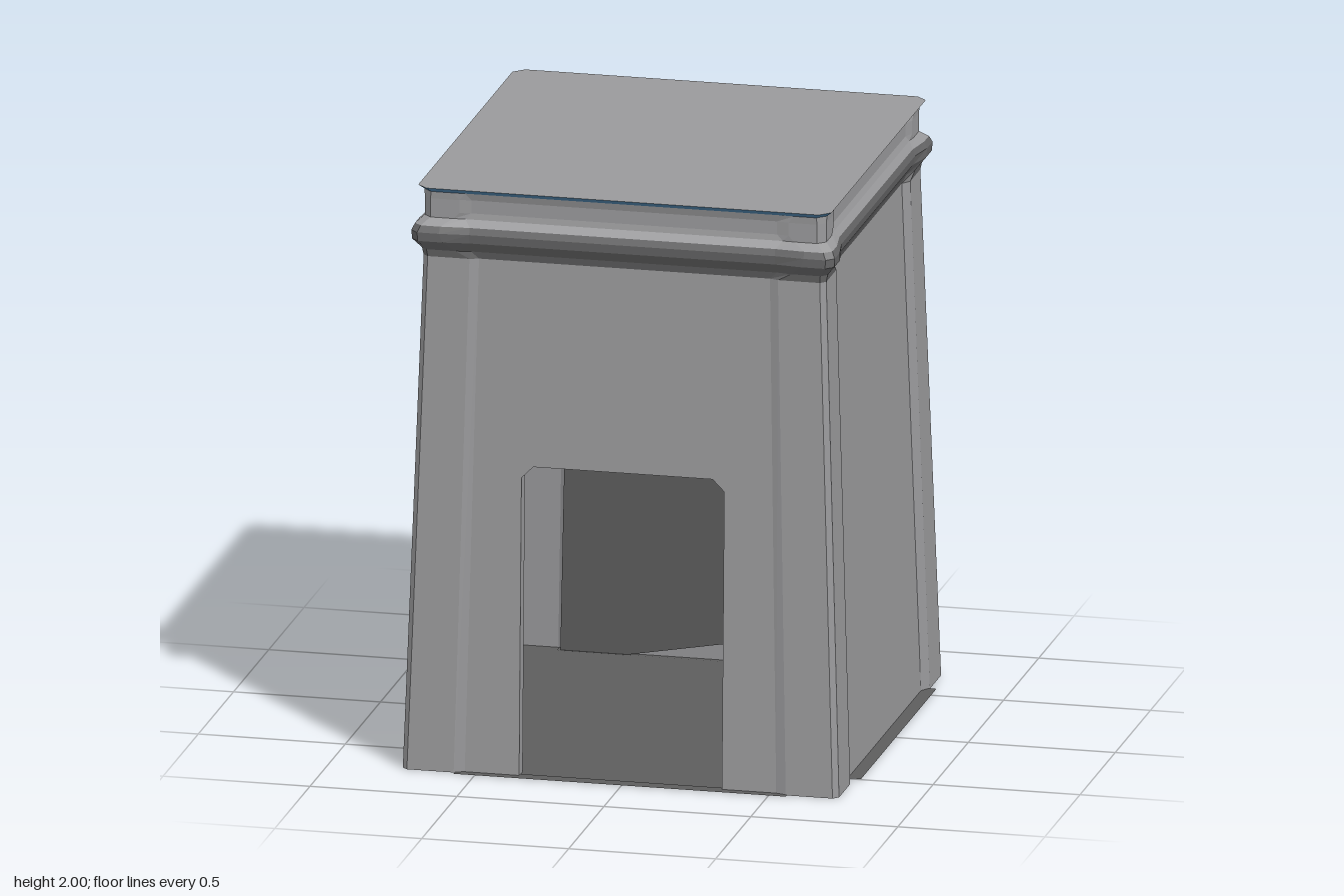
import * as THREE from 'three';

const makeMaterial = (color) => new THREE.MeshStandardMaterial({ color, flatShading: true, side: THREE.DoubleSide });
const stone = makeMaterial(0x99999b);
const darkStone = makeMaterial(0x5d5d5d);
const mouldingStone = makeMaterial(0x666667);
const rimBlue = makeMaterial(0x4d7fa6);

// Levels: y, half width, panel recess, panel half width, pilaster inner edge, corner chamfer
const levels = [
  [0, 0.742, 0.022, 0.53, 0.565, 0.018],
  [1.76, 0.685, 0.022, 0.495, 0.525, 0.018],
  [1.785, 0.69, 0.016, 0.52, 0.57, 0.02],
  [1.82, 0.718, 0.022, 0.52, 0.61, 0.025],
  [1.85, 0.72, 0.018, 0.52, 0.62, 0.025],
  [1.872, 0.71, 0.016, 0.52, 0.62, 0.025],
  [1.895, 0.683, 0.005, 0.54, 0.58, 0.025],
  [1.915, 0.683, 0.014, 0.52, 0.56, 0.025],
  [1.96, 0.683, 0.014, 0.52, 0.56, 0.025],
  [1.984, 0.685, 0.003, 0.54, 0.58, 0.03],
  [2, 0.703, 0, 0.54, 0.58, 0.035],
];
const FRONT_RECESS = 0.5; // the front panel is set back only half as far

// Turns a point of the front side to one of the four sides
function turn(side, u, y, out) {
  let x = u, z = out;
  for (let k = 0; k < side; k++) [x, z] = [z, -x];
  return [x, y, z];
}

// Square cross-section with chamfered corners and a recessed panel on each side
function ring([y, h, recess, w0, w1, c]) {
  const points = [];
  for (let side = 0; side < 4; side++) {
    const d = side === 0 ? recess * FRONT_RECESS : recess;
    const profile = [[-h + c, h], [-w1, h], [-w0, h - d], [w0, h - d], [w1, h], [h - c, h]];
    for (const [u, out] of profile) points.push(turn(side, u, y, out));
  }
  return points;
}

function meshFrom(name, triangles, material) {
  const geometry = new THREE.BufferGeometry();
  geometry.setAttribute('position', new THREE.Float32BufferAttribute(triangles.flat(2), 3));
  geometry.computeVertexNormals();
  const mesh = new THREE.Mesh(geometry, material);
  mesh.name = name;
  return mesh;
}

function loft(name, from, to, material, skip = () => false) {
  const triangles = [];
  for (let i = from; i < to; i++) {
    const a = ring(levels[i]), b = ring(levels[i + 1]);
    a.forEach((p, j) => {
      if (skip(j)) return;
      const n = (j + 1) % a.length;
      triangles.push([p, a[n], b[n]], [p, b[n], b[j]]);
    });
  }
  return meshFrom(name, triangles, material);
}

function cap(name, level, up, material) {
  const points = ring(level);
  return meshFrom(name, points.map((p, j) => {
    const n = points[(j + 1) % points.length], centre = [0, level[0], 0];
    return up ? [centre, p, n] : [centre, n, p];
  }), material);
}

// Depth of a recessed wall panel at height y
const [low, high] = levels;
const panelOut = (y, share) =>
  THREE.MathUtils.lerp(low[1] - low[2] * share, high[1] - high[2] * share, y / high[0]);

export function createModel() {
  const group = new THREE.Group();
  group.name = 'tower';
  const body = new THREE.Group();
  body.name = 'towerBody';
  body.position.set(-0.01, 0, -0.008);
  group.add(body);

  // Tapered walls with corner pilasters; the front panel is left out for the doorway
  body.add(loft('walls', 0, 1, stone, (j) => j === 2));
  body.add(loft('moulding', 1, 5, mouldingStone));
  body.add(loft('frieze', 5, 9, stone));
  body.add(loft('roofRim', 9, 10, rimBlue));
  body.add(cap('roof', levels[10], true, stone));
  body.add(cap('floor', levels[0], false, darkStone));

  // Front panel around the doorway, leaned back to follow the walls
  const door = [[-0.345, 0], [-0.345, 1.02], [-0.305, 1.06], [0.305, 1.06], [0.345, 1.02], [0.345, 0]];
  const outline = [[-low[3], 0], ...door, [low[3], 0], [high[3], high[0]], [-high[3], high[0]]];
  const panel = new THREE.ShapeGeometry(new THREE.Shape(outline.map(([x, y]) => new THREE.Vector2(x, y))));
  const pos = panel.attributes.position;
  for (let i = 0; i < pos.count; i++) pos.setZ(i, panelOut(pos.getY(i), FRONT_RECESS));
  panel.computeVertexNormals();
  const frontPanel = new THREE.Mesh(panel, stone);
  frontPanel.name = 'frontPanel';
  body.add(frontPanel);

  // Shallow return around the doorway
  const reveal = [];
  for (let i = 0; i < door.length - 1; i++) {
    const [a, b] = [door[i], door[i + 1]].map(([x, y]) => [x, y, panelOut(y, FRONT_RECESS)]);
    const [c, d] = [a, b].map(([x, y, z]) => [x, y, z - 0.05]);
    reveal.push([a, b, d], [a, d, c]);
  }
  body.add(meshFrom('doorReveal', reveal, stone));

  // Dark lining inside the walls, with slanting lower edges on the back and left
  const linings = [
    ['rightLining', 1, [[0.55, 0], [-0.55, 0], [-0.5, 1.76], [0.5, 1.76]]],
    ['backLining', 2, [[0.55, 0], [0.33, 0], [-0.55, 0.16], [-0.5, 1.76], [0.5, 1.76]]],
    ['leftLining', 3, [[-0.55, 0], [-0.5, 0], [0.55, 0.29], [0.5, 1.76], [-0.5, 1.76]]],
  ];
  for (const [name, side, edge] of linings) {
    const points = edge.map(([u, y]) => turn(side, u, y, panelOut(y, 1) - 0.012));
    const triangles = [];
    for (let i = 1; i < points.length - 1; i++) triangles.push([points[0], points[i], points[i + 1]]);
    body.add(meshFrom(name, triangles, darkStone));
  }

  // Thin ground strips at the foot of the front, back and one side wall
  const strips = [
    ['frontStrip', 1.13, 0.05, -0.005, 0.73],
    ['backStrip', 1.13, 0.05, -0.005, -0.735],
    ['sideStrip', 0.05, 1.07, 0.73, -0.035],
  ];
  for (const [name, w, d, x, z] of strips) {
    const strip = new THREE.Mesh(new THREE.PlaneGeometry(w, d), darkStone);
    strip.name = name;
    strip.rotation.x = Math.PI / 2;
    strip.position.set(x, 0.002, z);
    group.add(strip);
  }
  return group;
}
